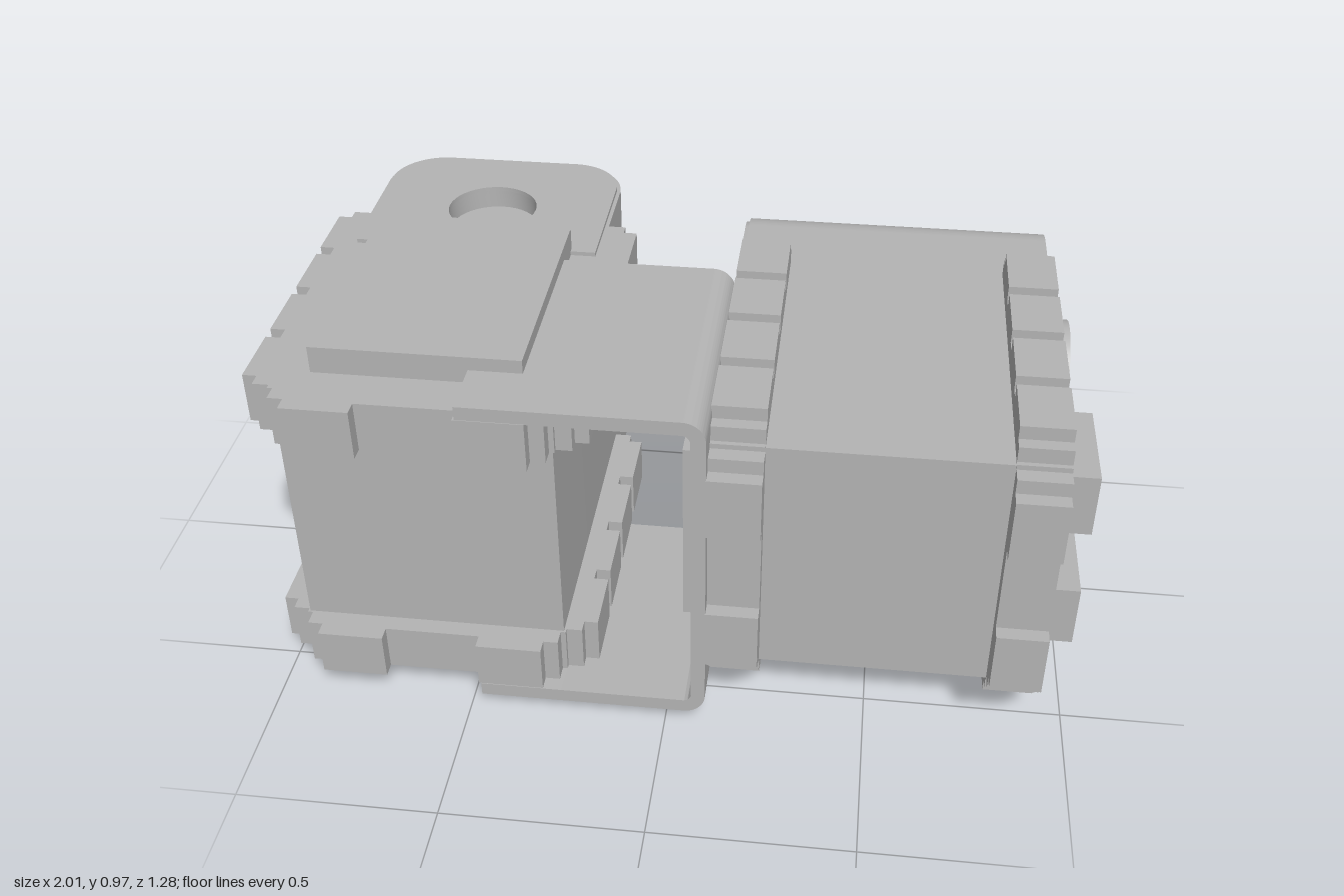
import * as THREE from 'three';
import { toCreasedNormals } from 'three/addons/utils/BufferGeometryUtils.js';

const grey = new THREE.MeshStandardMaterial({ color: 0xb4b4b4 });
grey.name = 'plain grey';

const HORN_Z = -0.345; // output axis position along the servo

// Prism of a shape between two depths, with smooth rounded edges
function prism(name, shape, from, to) {
  const raw = new THREE.ExtrudeGeometry(shape, { depth: to - from, bevelEnabled: false, curveSegments: 20 });
  const mesh = new THREE.Mesh(toCreasedNormals(raw, 0.5), grey);
  mesh.name = name;
  mesh.position.z = from;
  return mesh;
}

function polygon(points) {
  return new THREE.Shape(points.map(([x, y]) => new THREE.Vector2(x, y)));
}

function rect(x0, x1, y0, y1) {
  return polygon([[x0, y0], [x1, y0], [x1, y1], [x0, y1]]);
}

function mirrored(half) {
  return polygon([...half, ...half.map(([x, y]) => [-x, y]).reverse()]);
}

function disc(r, hole) {
  const s = new THREE.Shape().absarc(0, HORN_Z, r, 0, Math.PI * 2, false);
  if (hole) s.holes.push(circleHole(hole));
  return s;
}

function circleHole(r) {
  return new THREE.Path().absarc(0, HORN_Z, r, 0, Math.PI * 2, true);
}

// Case outline: square front, rounded back corners
function caseShape(w, back, front, r) {
  const s = new THREE.Shape();
  s.moveTo(-w, front);
  s.lineTo(-w, back + r);
  s.absarc(-w + r, back + r, r, Math.PI, Math.PI * 1.5, false);
  s.lineTo(w - r, back);
  s.absarc(w - r, back + r, r, Math.PI * 1.5, Math.PI * 2, false);
  s.lineTo(w, front);
  return s;
}

// Notched end flange outline, stepped at the front corners
function flangeShape() {
  const half = [[0.33, -0.295], [0.375, -0.295], [0.375, -0.265], [0.41, -0.265]];
  for (const z of [-0.095, 0.11, 0.312]) {
    half.push([0.41, z], [0.373, z], [0.373, z + 0.036], [0.41, z + 0.036]);
  }
  half.push([0.41, 0.515], [0.375, 0.515], [0.375, 0.548], [0.335, 0.548], [0.335, 0.56],
    [0.322, 0.56], [0.322, 0.6], [0.285, 0.6], [0.285, 0.637], [0.12, 0.637], [0.12, 0.6]);
  return mirrored(half);
}

// Servo: shape plane is width by length, depth runs from idler side to horn side
function makeServo(name) {
  const g = new THREE.Group();
  g.name = name;

  g.add(prism('case', caseShape(0.33, -0.64, 0.555, 0.15), 0.05, 0.82));
  const rim = caseShape(0.33, -0.64, 0.555, 0.15);
  rim.holes.push(circleHole(0.12));
  g.add(prism('caseRim', rim, 0, 0.05));
  const lid = caseShape(0.32, -0.63, -0.13, 0.14);
  lid.holes.push(circleHole(0.12));
  g.add(prism('idlerLid', lid, -0.011, 0));

  g.add(prism('idlerFlange', flangeShape(), 0, 0.13));
  g.add(prism('hornFlange', flangeShape(), 0.695, 0.82));

  // Raised cover with an arc cut around the idler hole
  const cover = new THREE.Shape();
  const a = Math.asin(0.2 / 0.29);
  cover.moveTo(-0.255, 0.485);
  cover.lineTo(-0.255, HORN_Z + 0.2);
  cover.absarc(0, HORN_Z, 0.29, Math.PI - a, a, true);
  cover.lineTo(0.255, HORN_Z + 0.2);
  cover.lineTo(0.255, 0.485);
  g.add(prism('idlerCover', cover, -0.07, 0));

  // Horn side: thin plate, two connector blocks and the horn
  g.add(prism('hornPlate', rect(-0.255, 0.255, -0.565, 0.48), 0.82, 0.835));
  for (const s of [-1, 1]) {
    g.add(prism('connectorBlock', rect(s * 0.172 - 0.083, s * 0.172 + 0.083, 0.22, 0.483), 0.82, 0.9));
  }
  g.add(prism('hornRing', disc(0.146, 0.105), 0.835, 0.9));
  g.add(prism('hornFloor', disc(0.106), 0.835, 0.865));
  return g;
}

// Orient a servo: width, length and depth axes
function place(servo, width, depth, position) {
  const length = new THREE.Vector3(0, 0, 1);
  servo.quaternion.setFromRotationMatrix(new THREE.Matrix4().makeBasis(width, length, depth));
  servo.position.set(...position);
  return servo;
}

// U-shaped bracket joining the servos
function makeBracket() {
  const s = new THREE.Shape();
  const x0 = -0.47, x1 = 0.102, y0 = 0.04, y1 = 0.935, t = 0.036, r = 0.055, q = 0.02;
  s.moveTo(x0, y0);
  s.lineTo(x1 - r, y0);
  s.absarc(x1 - r, y0 + r, r, -Math.PI / 2, 0, false);
  s.lineTo(x1, y1 - r);
  s.absarc(x1 - r, y1 - r, r, 0, Math.PI / 2, false);
  s.lineTo(x0, y1);
  s.lineTo(x0, y1 - t);
  s.lineTo(x1 - t - q, y1 - t);
  s.absarc(x1 - t - q, y1 - t - q, q, Math.PI / 2, 0, true);
  s.lineTo(x1 - t, y0 + t + q);
  s.absarc(x1 - t - q, y0 + t + q, q, 0, -Math.PI / 2, true);
  s.lineTo(x0, y0 + t);
  return prism('bracket', s, -0.043, 0.635);
}

export function createModel() {
  const model = new THREE.Group();
  model.name = 'servoPair';
  const X = new THREE.Vector3(1, 0, 0);
  const Y = new THREE.Vector3(0, 1, 0);
  model.add(
    place(makeServo('uprightServo'), X, Y.clone().negate(), [-0.595, 0.9, 0]),
    place(makeServo('sidewaysServo'), Y, X, [0.1, 0.493, 0]),
    makeBracket()
  );
  return model;
}
